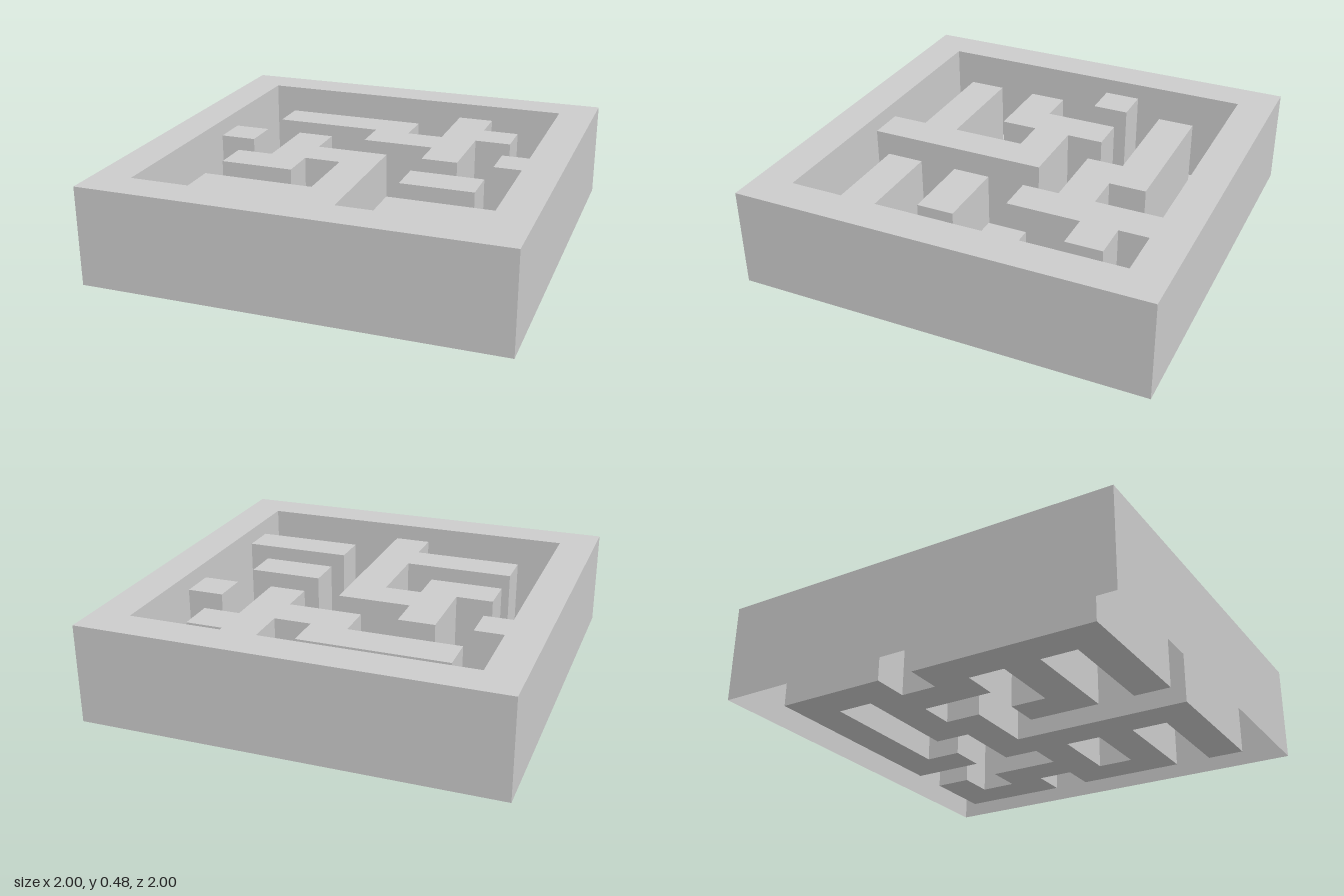
import * as THREE from 'three';
import { mergeGeometries } from 'three/addons/utils/BufferGeometryUtils.js';

// Plan of the maze, back row first: # rim, w inner wall, . floor
const PLAN = [
  '###########',
  '#......w..#',
  '#.wwww.ww.#',
  '#....www..#',
  '#w.w...w.w#',
  '#..www....#',
  '#.ww.w.ww.#',
  '#....w....#',
  '#.wwww.www#',
  '#....w....#',
  '###########',
];
const HEIGHT = { '#': 0.48, w: 0.4, '.': 0 };
const NAMES = { '#': 'rim', w: 'mazeWalls', '.': 'floor' };
const N = PLAN.length;
const CELL = 2 / N;

const kindAt = (col, row) => PLAN[row]?.[col];
const heightAt = (col, row) => HEIGHT[kindAt(col, row)] ?? 0;

export function createModel() {
  const group = new THREE.Group();
  const material = new THREE.MeshStandardMaterial({ color: 0xcccccc, side: THREE.DoubleSide });
  const parts = { '#': [], w: [], '.': [] };

  for (let row = 0; row < N; row++) {
    for (let col = 0; col < N; col++) {
      const kind = kindAt(col, row);
      const h = HEIGHT[kind];
      const x = -1 + (col + 0.5) * CELL;
      const z = -1 + (row + 0.5) * CELL;

      // Top of the cell
      parts[kind].push(new THREE.PlaneGeometry(CELL, CELL).rotateX(-Math.PI / 2).translate(x, h, z));

      // Upright faces wherever the neighbour is lower; the shell is open underneath
      for (const [dx, dz] of [[1, 0], [-1, 0], [0, 1], [0, -1]]) {
        const low = heightAt(col + dx, row + dz);
        if (low >= h) continue;
        parts[kind].push(
          new THREE.PlaneGeometry(CELL, h - low)
            .rotateY(Math.atan2(dx, dz))
            .translate(x + dx * CELL / 2, (h + low) / 2, z + dz * CELL / 2)
        );
      }
    }
  }

  for (const kind in parts) {
    const mesh = new THREE.Mesh(mergeGeometries(parts[kind]), material);
    mesh.name = NAMES[kind];
    group.add(mesh);
  }
  return group;
}
